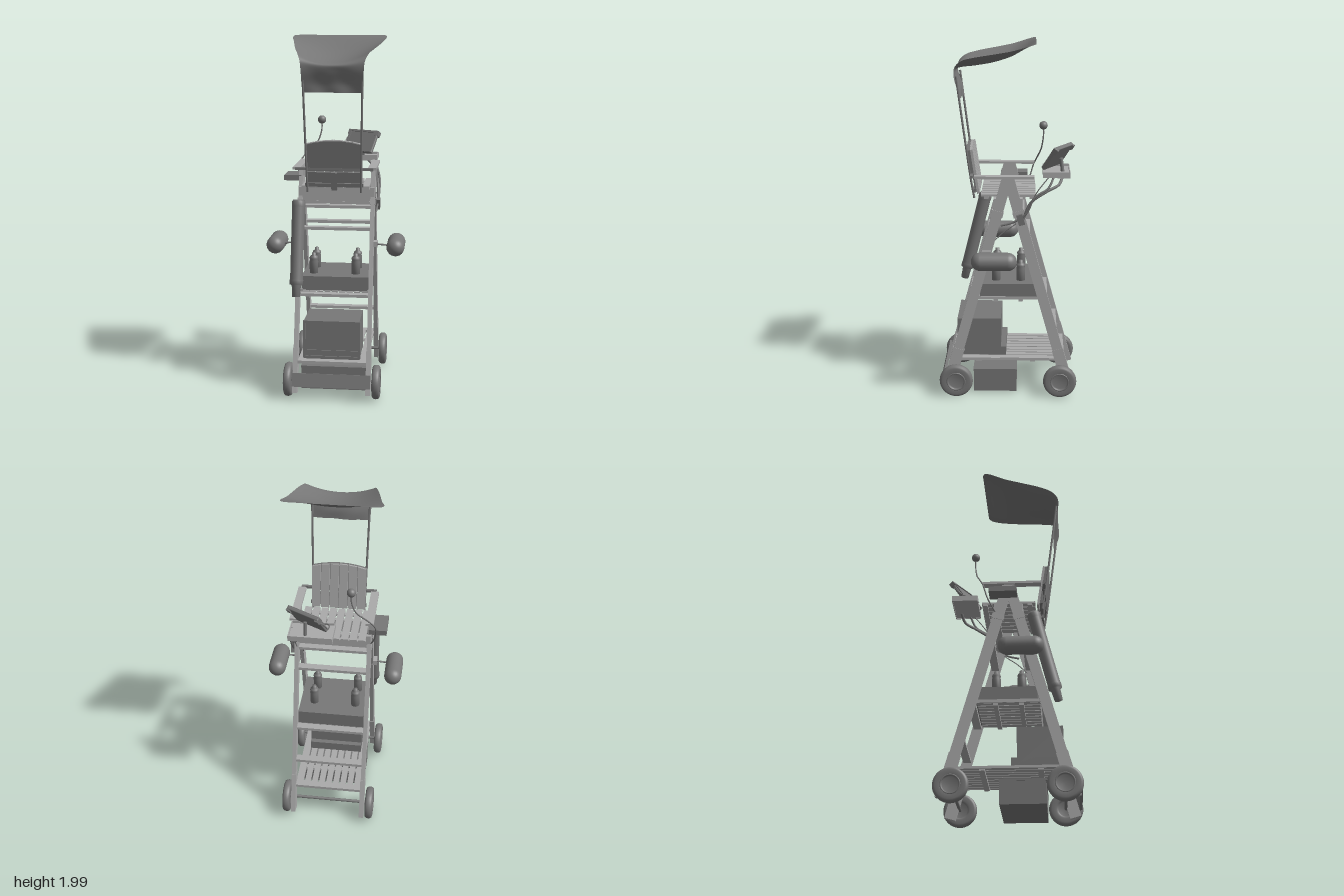
import * as THREE from 'three';
import { RoundedBoxGeometry } from 'three/addons/geometries/RoundedBoxGeometry.js';

const V = (x, y, z) => new THREE.Vector3(x, y, z);
const paint = (color, side = THREE.FrontSide) => new THREE.MeshStandardMaterial({ color, side });

export function createModel() {
  const root = new THREE.Group();
  const wood = paint(0xaaaaaa), dark = paint(0x777777), cloth = paint(0x777777, THREE.DoubleSide);
  let mat = wood; // material of the parts being added

  const add = (name, geo, x = 0, y = 0, z = 0, parent = root) => {
    const mesh = new THREE.Mesh(geo, mat);
    mesh.name = name;
    mesh.position.set(x, y, z);
    parent.add(mesh);
    return mesh;
  };
  const box = (name, w, h, d, x, y, z, parent) => add(name, new THREE.BoxGeometry(w, h, d), x, y, z, parent);
  // Stretch a part standing along y between two points
  const span = (mesh, a, b) => {
    mesh.position.copy(a).lerp(b, 0.5);
    mesh.quaternion.setFromUnitVectors(V(0, 1, 0), b.clone().sub(a).normalize());
    return mesh;
  };
  const beam = (name, a, b, w, d) => span(add(name, new THREE.BoxGeometry(w, a.distanceTo(b), d)), a, b);
  const rod = (name, a, b, r) => span(add(name, new THREE.CylinderGeometry(r, r, a.distanceTo(b), 12)), a, b);
  const cable = (name, pts, r) =>
    add(name, new THREE.TubeGeometry(new THREE.CatmullRomCurve3(pts.map(p => V(...p))), 40, r, 8));
  const lathe = (pts, n) => new THREE.LatheGeometry(pts.map(p => new THREE.Vector2(...p)), n);
  const plate = (pts, depth, hole) => {
    const shape = new THREE.Shape(pts.map(p => new THREE.Vector2(...p)));
    if (hole) shape.holes.push(new THREE.Path(hole.map(p => new THREE.Vector2(...p))));
    return new THREE.ExtrudeGeometry(shape, { depth, bevelEnabled: false });
  };
  const rect = (w, h) => [[-w, -h], [w, -h], [w, h], [-w, h]];

  // Centre line of the sloping legs
  const legZ = y => 0.005 + (1.27 - y) * 0.278;
  const slope = Math.atan(0.278);

  // A-frame legs with lower sleeves and upper bands
  for (const sx of [-1, 1]) {
    for (const sz of [-1, 1]) {
      const at = y => V(sx * 0.204, y, sz * legZ(y));
      beam('leg', at(0.04), at(1.27), 0.022, 0.058);
      beam('legSleeve', at(0.04), at(0.28), 0.026, 0.064);
      beam('legBand', at(1.06), at(1.09), 0.028, 0.066);
    }
    box('apexPlate', 0.03, 0.06, 0.045, sx * 0.204, 1.245, 0);
    box('shelfSideRail', 0.012, 0.014, 0.6, sx * 0.187, 0.21, 0);
    box('middleSideRail', 0.012, 0.018, 0.34, sx * 0.187, 0.58, 0);
    box('floatBracket', 0.03, 0.03, 0.05, sx * 0.222, 0.85, 0.118);
    box('armrest', 0.045, 0.014, 0.33, sx * 0.208, 1.28, 0.02);
  }

  // Ladder treads between the legs
  const treads = { 1: [0.21, 0.57, 0.93, 1.05], '-1': [0.21, 0.37, 0.57, 0.93, 1.05] };
  for (const sz of [1, -1])
    for (const y of treads[sz]) box('tread', 0.39, 0.016, 0.044, 0, y, sz * legZ(y));

  // Slatted shelves and seat running front to back
  const slats = (name, n, width, gap, y, z0, z1) => {
    for (let i = 0; i < n; i++)
      box(name, width, 0.012, z1 - z0, (i - (n - 1) / 2) * (width + gap), y, (z0 + z1) / 2);
  };
  slats('lowerShelfSlat', 9, 0.033, 0.009, 0.212, -0.3, 0.28);
  slats('middleShelfSlat', 9, 0.033, 0.009, 0.576, -0.17, 0.17);
  slats('seatSlat', 8, 0.04, 0.008, 1.172, -0.15, 0.15);
  for (const z of [0.17, -0.14]) box('lowerShelfBearer', 0.37, 0.014, 0.03, 0, 0.2, z);
  for (const z of [0.07, -0.07]) box('middleShelfBearer', 0.37, 0.014, 0.025, 0, 0.563, z);
  for (const z of [0.12, -0.13]) box('seatBearer', 0.38, 0.012, 0.025, 0, 1.16, z);
  for (const sz of [-1, 1]) box('seatApron', 0.425, 0.078, 0.02, 0.002, 1.12, sz * 0.07);

  // Fan-topped slatted backrest with a rear cover
  const back = new THREE.Group();
  back.name = 'backrest';
  back.position.set(0, 1.165, 0.157);
  back.rotation.x = 0.15;
  root.add(back);
  const top = x => 0.28 - 0.9 * x * x;
  for (let i = 0; i < 6; i++) {
    const x0 = -0.155 + i * 0.052, x1 = x0 + 0.048;
    add('backSlat', plate([[x0, 0.01], [x1, 0.01], [x1, top(x1)], [x0, top(x0)]], 0.014), 0, 0, 0, back);
  }
  mat = dark;
  const arch = [0.155, 0.1, 0.05, 0, -0.05, -0.1, -0.155].map(x => [x, top(x)]);
  add('backCover', plate([[-0.155, 0.11], [0.155, 0.11], ...arch], 0.018), 0, 0, 0.014, back);
  box('lowerBackCover', 0.3, 0.08, 0.008, 0, 0.06, 0.018, back);
  box('backRail', 0.32, 0.02, 0.014, 0, 0.03, 0.026, back);
  box('backStrut', 0.032, 0.1, 0.014, 0, 0.05, 0.028, back);
  box('armCrossRail', 0.43, 0.014, 0.016, 0, 1.28, 0.2);

  // Wheels and axles
  const tyre = lathe([[0, -0.01], [0.042, -0.01], [0.046, -0.019], [0.056, -0.022], [0.078, -0.022], [0.087, -0.019],
    [0.093, -0.012], [0.095, 0], [0.093, 0.012], [0.087, 0.019], [0.078, 0.022], [0.056, 0.022], [0.046, 0.019],
    [0.042, 0.01], [0, 0.01]], 40);
  for (const z of [0.295, -0.295]) {
    rod('axle', V(-0.255, 0.1, z), V(0.255, 0.1, z), 0.009);
    for (const sx of [-1, 1]) {
      add('wheel', tyre, sx * 0.246, 0.1, z).rotation.z = Math.PI / 2;
      add('hubRing', new THREE.TorusGeometry(0.05, 0.005, 8, 32), sx * 0.265, 0.1, z).rotation.y = Math.PI / 2;
    }
  }
  box('frontBoard', 0.435, 0.075, 0.016, 0, 0.122, 0.367).rotation.x = -slope;

  // Low storage box with lid
  box('storageBox', 0.375, 0.125, 0.245, 0, 0.073, 0.075);
  box('storageLid', 0.38, 0.012, 0.25, 0, 0.14, 0.075);

  // Cabinet with recessed front panel
  box('cabinet', 0.31, 0.21, 0.235, -0.005, 0.335, 0.16);
  box('cabinetBase', 0.31, 0.05, 0.27, -0.005, 0.245, 0.148);
  add('cabinetFrame', plate(rect(0.16, 0.108), 0.013, rect(0.147, 0.095)), -0.005, 0.333, 0.277);

  // Middle crate and bottles
  box('crate', 0.38, 0.08, 0.335, 0, 0.622, -0.01);
  const bottle = lathe([[0, 0], [0.024, 0], [0.025, 0.07], [0.021, 0.08], [0.025, 0.086], [0.022, 0.098],
    [0.012, 0.104], [0.012, 0.118], [0, 0.12]], 20);
  for (const x of [-0.13, 0.11]) for (const z of [0.07, -0.07]) add('bottle', bottle, x, 0.66, z);

  // Side floats on short hangers
  for (const sx of [-1, 1]) {
    add('float', new THREE.CapsuleGeometry(0.05, 0.15, 10, 24), sx * 0.338, 0.838, 0.074).rotation.x = Math.PI / 2;
    rod('floatHanger', V(sx * 0.205, 0.85, 0.118), V(sx * 0.3, 0.843, 0.118), 0.005);
  }

  // Long tube strapped to the front leg
  add('longTube', lathe([[0, 0], [0.022, 0], [0.026, 0.065], [0.038, 0.07], [0.038, 0.095], [0.036, 0.097],
    [0.036, 0.5], [0.038, 0.503], [0.038, 0.53], [0.03, 0.542], [0, 0.542]], 24), -0.205, 0.57, 0.27).rotation.x = -0.245;

  // Canopy posts
  for (const sx of [-1, 1])
    cable('canopyPost', [[sx * 0.148, 1.15, 0.188], [sx * 0.15, 1.25, 0.205], [sx * 0.158, 1.7, 0.265],
      [sx * 0.16, 1.82, 0.28]], 0.006);

  // Sagging canopy cloth; each row: z, y, half width, sag, pull-in
  const rows = [[0.262, 1.7, 0.163, 0, 0.008], [0.275, 1.75, 0.166, 0, 0.016], [0.292, 1.82, 0.168, 0.005, 0.01],
    [0.287, 1.87, 0.174, 0.025, 0], [0.25, 1.905, 0.19, 0.05, -0.012], [0.18, 1.925, 0.21, 0.06, 0],
    [0.08, 1.943, 0.23, 0.06, 0], [-0.02, 1.962, 0.248, 0.045, 0], [-0.1, 1.985, 0.265, 0.02, 0],
    [-0.135, 1.995, 0.26, 0.006, 0], [-0.15, 1.998, 0.235, 0, 0]];
  const edge = new THREE.CatmullRomCurve3(rows.map(r => V(r[2], r[1], r[0])));
  const drop = new THREE.CatmullRomCurve3(rows.map((r, i) => V(r[3], r[4], i * 0.05)));
  const sheet = new THREE.PlaneGeometry(2, 1, 28, 50);
  const pos = sheet.attributes.position;
  for (let i = 0; i < pos.count; i++) {
    const u = pos.getX(i), t = pos.getY(i) + 0.5;
    const e = edge.getPoint(t), k = drop.getPoint(t), c = 1 - u * u;
    const fold = t < 0.3 ? 0.004 * Math.sin(u * 6 + t * 15) * c * (1 - t / 0.3) : 0;
    pos.setXYZ(i, e.x * u, e.y - k.x * c, e.z - k.y * c + fold);
  }
  sheet.computeVertexNormals();
  mat = cloth;
  add('canopy', sheet);
  mat = dark;

  // Side control box with ball-topped gooseneck
  box('controlBox', 0.1, 0.03, 0.155, -0.25, 1.205, -0.027);
  cable('gooseneck', [[-0.21, 1.1, -0.07], [-0.238, 1.18, -0.115], [-0.24, 1.26, -0.14], [-0.2, 1.32, -0.165],
    [-0.14, 1.38, -0.185], [-0.115, 1.45, -0.195], [-0.113, 1.5, -0.195]], 0.004);
  add('gooseneckBall', new THREE.SphereGeometry(0.024, 20, 14), -0.113, 1.512, -0.195);

  // Swing-out tray with low rim
  mat = wood;
  box('trayBase', 0.24, 0.014, 0.15, 0.09, 1.288, -0.265);
  for (const s of [-1, 1]) {
    box('trayRimLong', 0.24, 0.032, 0.005, 0.09, 1.292, -0.265 + s * 0.0725);
    box('trayRimShort', 0.005, 0.032, 0.15, 0.09 + s * 0.1175, 1.292, -0.265);
  }
  mat = dark;
  cable('trayArm', [[0.14, 1.278, -0.3], [0.18, 1.235, -0.28], [0.21, 1.2, -0.21], [0.222, 1.14, -0.125],
    [0.222, 1.05, -0.085]], 0.008);
  cable('trayBrace', [[0.19, 1.278, -0.25], [0.213, 1.22, -0.22], [0.23, 1.17, -0.145], [0.228, 1.08, -0.1],
    [0.222, 1.03, -0.03], [0.22, 1.01, 0.04]], 0.006);
  box('trayClamp', 0.03, 0.06, 0.035, 0.222, 1.045, -0.07).rotation.x = slope;

  // Tilted screen on the tray
  const screen = new THREE.Group();
  screen.name = 'screen';
  screen.position.set(0.11, 1.378, -0.272);
  screen.rotation.set(-0.6, -0.5, 0, 'YXZ');
  root.add(screen);
  add('screenBody', new RoundedBoxGeometry(0.2, 0.145, 0.018, 2, 0.005), 0, 0, 0, screen);
  add('screenRim', plate(rect(0.096, 0.07), 0.006, rect(0.084, 0.058)), 0, 0, 0.008, screen);
  for (const s of [-1, 1]) box('screenGrip', 0.022, 0.03, 0.03, s * 0.093, 0.055, -0.002, screen);
  rod('screenStand', V(0.12, 1.29, -0.3), V(0.12, 1.37, -0.29), 0.01);

  // Loose cables
  cable('screenCable', [[0.1, 1.42, -0.32], [0.03, 1.4, -0.335], [0, 1.33, -0.28], [0.01, 1.305, -0.2], [0.05, 1.3, -0.19]], 0.003);
  cable('legCable', [[0.2, 1.3, -0.24], [0.215, 1.2, -0.16], [0.2, 1.05, -0.08], [0.19, 0.95, 0.04], [0.2, 0.88, 0.11]], 0.003);
  return root;
}
